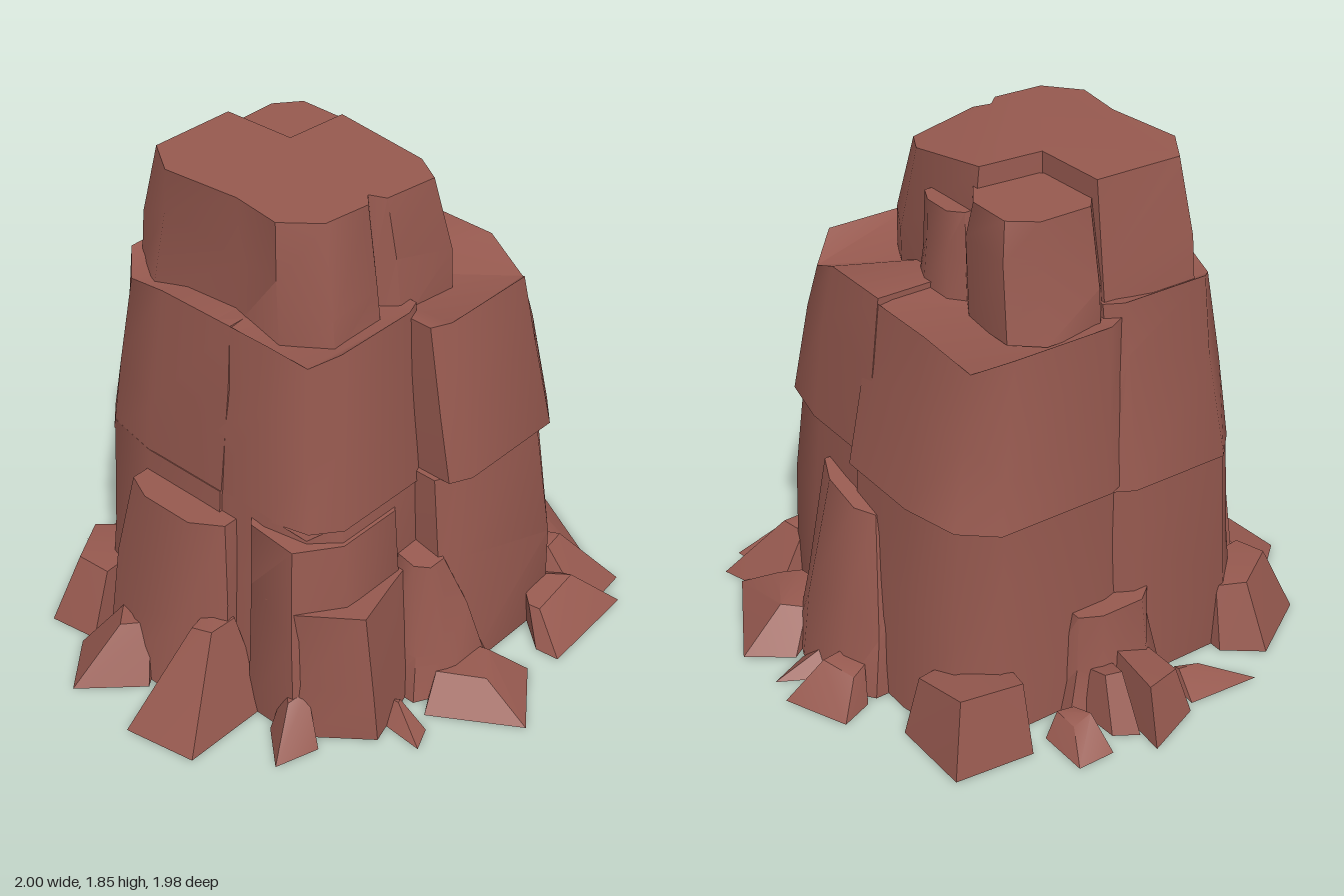
import * as THREE from 'three';
import { toCreasedNormals } from 'three/addons/utils/BufferGeometryUtils.js';
import { ConvexGeometry } from 'three/addons/geometries/ConvexGeometry.js';

export function createModel() {
  const model = new THREE.Group();
  model.name = 'rockFormation';
  const stone = new THREE.MeshStandardMaterial({ color: 0x96594f });
  stone.name = 'red stone';

  let seed = 7;
  const jitter = (amount) => {
    seed = (seed * 16807) % 2147483647;
    return (seed / 2147483647 - 0.5) * 2 * amount;
  };

  const add = (name, geometry, crease) => {
    const mesh = new THREE.Mesh(toCreasedNormals(geometry, crease), stone);
    mesh.name = name;
    model.add(mesh);
  };

  // Rock column between two rings of corners, with a roughened waist
  function column(name, bottom, top, bulge = 0) {
    const centre = new THREE.Vector3();
    bottom.forEach((p) => centre.addScaledVector(p, 1 / bottom.length));
    const waist = bottom.map((p, i) => {
      const m = p.clone().lerp(top[i], 0.5 + jitter(0.22));
      const out = m.clone().sub(centre).setY(0).normalize();
      return m.addScaledVector(out, bulge + jitter(0.022));
    });
    const rings = [bottom, waist, top];
    const flatten = (ring) => ring.map((p) => new THREE.Vector2(p.x, -p.z));
    if (THREE.ShapeUtils.isClockWise(flatten(bottom))) rings.forEach((r) => r.reverse());
    const n = bottom.length, index = [];
    for (let k = 0; k < 2 * n; k += n) {
      for (let i = 0; i < n; i++) {
        const j = (i + 1) % n;
        index.push(k + i, k + j, k + n + j, k + i, k + n + j, k + n + i);
      }
    }
    const cap = (ring) => THREE.ShapeUtils.triangulateShape(flatten(ring), []);
    cap(bottom).forEach(([p, q, r]) => index.push(p, r, q));
    cap(top).forEach(([p, q, r]) => index.push(2 * n + p, 2 * n + q, 2 * n + r));
    const g = new THREE.BufferGeometry().setFromPoints(rings.flat());
    g.setIndex(index);
    add(name, g.toNonIndexed(), 0.85);
  }

  // Quarter of a tower tier: one chipped outer corner, straight cracks inside.
  // A level is [height, x extent, z extent, depth of the chip].
  const corner = [[0, 0], [0, 0.94], [0.12, 1], [0.76, 1], [0.93, 0.84], [1, 0.5], [1, 0]];
  function quarter(name, sx, sz, crackX, low, high, bulge) {
    const ring = ([y, w, d, chip = 0]) => corner.map(([u, v], i) => new THREE.Vector3(
      crackX + u * (sx * w - crackX), i === 4 ? y - chip : y, sz * (v ? v * d : -0.03)));
    column(name, ring(low), ring(high), bulge);
  }

  // Slab with clipped corners. A level is [height, min x, max x, min z, max z, slope along z].
  const clipped = [[0, 0.25], [0.2, 0], [0.75, 0], [1, 0.2], [1, 0.7], [0.8, 1], [0.3, 1], [0, 0.75]];
  function slab(name, low, high, bulge) {
    const ring = ([y, x0, x1, z0, z1, slope = 0]) => clipped.map(([u, v]) => new THREE.Vector3(
      x0 + u * (x1 - x0), y + slope * (v - 0.5), z0 + v * (z1 - z0)));
    column(name, ring(low), ring(high), bulge);
  }

  // Loose rock: hull of a ground outline and a smaller, uneven crown leaning to the tower
  function boulder(name, height, crown, ...outline) {
    const ground = outline.map(([x, z]) => new THREE.Vector3(x, 0, z));
    const centre = new THREE.Vector3();
    ground.forEach((p) => centre.addScaledVector(p, 1 / ground.length));
    const lean = centre.clone().normalize().multiplyScalar(-0.15 * (1 - crown));
    const upper = ground.map((p) => {
      const q = centre.clone().lerp(p, crown).add(lean);
      q.y = height * (0.87 + jitter(0.14));
      return q;
    });
    add(name, new ConvexGeometry([...ground, ...upper]), 0.5);
  }

  // Lower tier: four quarters split by cracks
  quarter('lowerFrontLeft', 1, 1, -0.05, [0, 0.65, 0.65], [0.84, 0.62, 0.57], 0.015);
  quarter('lowerFrontRight', -1, 1, 0.02, [0, 0.62, 0.5], [0.82, 0.55, 0.45, 0.05], 0);
  quarter('lowerBackRight', -1, -1, 0.03, [0, 0.63, 0.65], [0.82, 0.56, 0.63], 0);
  quarter('lowerBackLeft', 1, -1, -0.03, [0, 0.69, 0.64], [0.82, 0.63, 0.61], 0);

  // Middle tier, overhanging the lower one slightly, with chipped top corners
  quarter('middleFrontLeft', 1, 1, -0.03, [0.84, 0.63, 0.62], [1.42, 0.56, 0.51, 0.08], 0.01);
  quarter('middleFrontRight', -1, 1, 0.02, [0.8, 0.55, 0.46], [1.45, 0.49, 0.4, 0.04], 0);
  quarter('middleBackRight', -1, -1, 0.03, [0.78, 0.56, 0.64], [1.45, 0.49, 0.56, 0.05], 0);
  quarter('middleBackLeft', 1, -1, -0.03, [0.8, 0.66, 0.63], [1.4, 0.56, 0.59, 0.06], 0);

  // Cap with grooves and a cut-out back corner, tapering upward and sinking at one corner
  const capOutline = [[-0.44, -0.38], [-0.34, -0.54], [0.02, -0.53], [0.03, -0.2], [0.29, -0.18], [0.31, 0.22],
    [0.25, 0.34], [-0.03, 0.36], [-0.08, 0.31], [-0.13, 0.36], [-0.33, 0.34], [-0.44, 0.2], [-0.41, -0.03]];
  column('cap',
    capOutline.map(([x, z]) => new THREE.Vector3(x, 1.38, z)),
    capOutline.map(([x, z]) => new THREE.Vector3(
      x * 0.9 - 0.01, 1.85 - 0.15 * Math.max(0, x + z - 0.2), z * 0.84 - 0.01)));
  slab('capBackCorner', [1.38, -0.02, 0.36, -0.55, -0.13], [1.78, -0.02, 0.33, -0.48, -0.14]);
  slab('capSideStep', [1.38, 0.18, 0.36, -0.18, 0.09], [1.7, 0.18, 0.34, -0.15, 0.07]);

  // Buttresses leaning on the foot of the tower
  slab('frontButtressTall', [0, -0.63, -0.04, 0.1, 0.53], [0.77, -0.58, -0.07, 0.1, 0.47, -0.04], 0.01);
  const footOutline = [[-0.02, 0.3], [-0.04, 0.53], [-0.22, 0.58], [-0.45, 0.65], [-0.62, 0.44], [-0.62, 0.3]];
  column('frontButtressLow',
    footOutline.map(([x, z]) => new THREE.Vector3(x, 0, z)),
    footOutline.map(([x, z]) => new THREE.Vector3(x * 0.9 - 0.04, 0.49 - 0.04 * x, z * 0.9)));
  slab('frontSlab', [0, -0.23, 0.19, 0.42, 0.69], [0.54, -0.15, -0.01, 0.42, 0.58, -0.04]);
  slab('rightButtress', [0, -0.77, -0.45, -0.42, 0.14], [0.74, -0.68, -0.45, -0.32, 0.1]);
  slab('leftButtress', [0, 0.5, 0.82, -0.22, 0.29], [0.69, 0.5, 0.69, -0.1, 0.21, 0.07], 0.01);
  slab('backSlab', [0, -0.15, 0.26, -0.74, -0.5], [0.37, -0.1, 0.2, -0.69, -0.5]);

  // Rubble around the foot: height, crown size, ground outline
  boulder('backRightBoulder', 0.28, 0.65, [-0.79, -0.64], [-0.53, -0.8], [-0.4, -0.7], [-0.4, -0.48], [-0.76, -0.45]);
  boulder('rightBackBoulder', 0.22, 0.4, [-0.99, -0.31], [-0.8, -0.47], [-0.66, -0.4], [-0.68, -0.2], [-0.8, -0.12]);
  boulder('rightBoulder', 0.37, 0.3, [-1, -0.02], [-0.95, 0.25], [-0.58, 0.25], [-0.58, -0.06]);
  boulder('rightFrontBoulder', 0.18, 0.45, [-0.78, 0.48], [-0.66, 0.34], [-0.56, 0.4], [-0.62, 0.53]);
  boulder('frontChip', 0.07, 0.2, [-0.39, 0.78], [-0.38, 0.63], [-0.3, 0.74]);
  boulder('frontBoulder', 0.1, 0.5, [-0.25, 0.69], [-0.06, 0.99], [0.18, 0.81], [0.12, 0.64], [-0.1, 0.6]);
  boulder('frontLeftBoulder', 0.16, 0.5, [0.28, 0.77], [0.29, 0.86], [0.7, 0.83], [0.66, 0.6], [0.46, 0.55]);
  boulder('frontLeftCrag', 0.26, 0.35, [0.47, 0.62], [0.56, 0.78], [0.8, 0.75], [0.72, 0.5], [0.58, 0.48]);
  boulder('leftFrontBoulder', 0.14, 0.5, [0.62, 0.3], [0.85, 0.14], [1, 0.25], [0.78, 0.66], [0.65, 0.55]);
  boulder('leftChip', 0.09, 0.25, [0.83, -0.02], [0.98, 0.06], [0.83, 0.13]);
  boulder('leftBoulder', 0.14, 0.5, [0.78, -0.23], [0.9, -0.28], [1, -0.05], [0.83, -0.02]);
  boulder('backLeftBoulder', 0.28, 0.8, [0.43, -0.62], [0.47, -0.77], [0.76, -0.74], [0.76, -0.43], [0.52, -0.42]);
  boulder('backLeftChip', 0.1, 0.5, [0.25, -0.92], [0.39, -0.92], [0.39, -0.73], [0.28, -0.77]);
  boulder('backBoulder', 0.21, 0.75, [-0.1, -0.9], [0.12, -0.99], [0.09, -0.7], [-0.09, -0.68]);
  boulder('backSideBoulder', 0.2, 0.6, [0.06, -0.7], [0.12, -0.9], [0.2, -0.85], [0.21, -0.66]);
  boulder('backSliver', 0.06, 0.3, [-0.4, -0.89], [-0.13, -0.87], [-0.14, -0.77]);

  return model;
}
